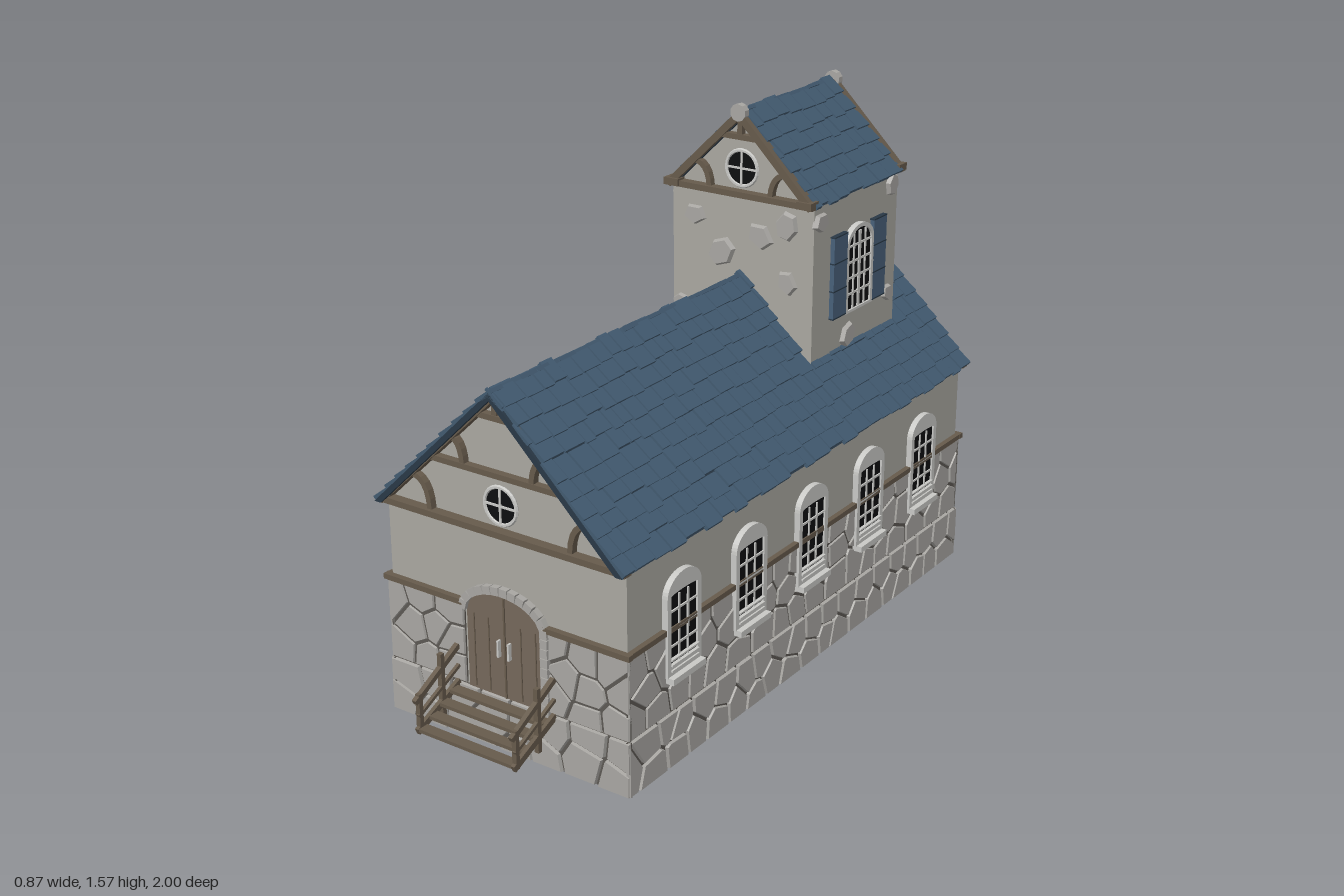
import * as THREE from 'three';
import { mergeGeometries } from 'three/addons/utils/BufferGeometryUtils.js';

const mat = (name, color, side = THREE.FrontSide) => {
  const m = new THREE.MeshStandardMaterial({ color, side, flatShading: true });
  m.name = name;
  return m;
};

export function createModel() {
  const plaster = mat('plaster', 0xa9a7a0), stone = mat('stone', 0xa8a6a2), mortar = mat('mortar', 0x5c5853);
  const tile = mat('slate blue', 0x425a70), underlay = mat('dark slate', 0x293846), wood = mat('timber', 0x665a4b);
  const doorWood = mat('door wood', 0x74675a), glass = mat('dark glass', 0x0d0e10);
  const trim = mat('pale trim', 0xc8c8c5), shutterBlue = mat('shutter blue', 0x486079);

  let seed = 7;
  const rnd = (a = 0, b = 1) => {
    seed = (seed * 16807) % 2147483647;
    return a + (b - a) * seed / 2147483647;
  };
  const root = new THREE.Group();
  root.name = 'chapel';

  const add = (parent, name, geo, m, x = 0, y = 0, z = 0) => {
    const mesh = new THREE.Mesh(geo, m);
    mesh.name = name;
    mesh.position.set(x, y, z);
    parent.add(mesh);
    return mesh;
  };
  const box = (p, name, m, w, h, d, x, y, z) => add(p, name, new THREE.BoxGeometry(w, h, d), m, x, y, z);
  const group = (p, name, x = 0, y = 0, z = 0, ry = 0) => {
    const g = new THREE.Group();
    g.name = name;
    g.position.set(x, y, z);
    g.rotation.y = ry;
    p.add(g);
    return g;
  };
  const extrude = (shape, depth) => new THREE.ExtrudeGeometry(shape, { depth, bevelEnabled: false, curveSegments: 10 });
  const poly = pts => new THREE.Shape(pts.map(p => new THREE.Vector2(...p)));
  const arch = (w, h, rise) => {
    const s = new THREE.Shape();
    s.moveTo(-w / 2, 0).lineTo(w / 2, 0).lineTo(w / 2, h - rise);
    s.absellipse(0, h - rise, w / 2, rise, 0, Math.PI, false);
    return s;
  };
  // flat timber following a straight or bent line
  const strip = (p, name, a, c, b, w, depth) => {
    const v = q => new THREE.Vector2(...q);
    const curve = c ? new THREE.QuadraticBezierCurve(v(a), v(c), v(b)) : new THREE.LineCurve(v(a), v(b));
    const left = [], right = [], n = c ? 6 : 1;
    for (let i = 0; i <= n; i++) {
      const q = curve.getPoint(i / n), t = curve.getTangent(i / n);
      left.push([q.x - t.y * w / 2, q.y + t.x * w / 2]);
      right.unshift([q.x + t.y * w / 2, q.y - t.x * w / 2]);
    }
    return add(p, name, extrude(poly([...left, ...right]), depth), wood);
  };

  // rubble masonry: cells cut from a jittered grid, tapered outward
  const clip = (pts, mx, my, nx, ny) => {
    const out = [];
    pts.forEach((p, i) => {
      const q = pts[(i + 1) % pts.length];
      const dp = (p[0] - mx) * nx + (p[1] - my) * ny, dq = (q[0] - mx) * nx + (q[1] - my) * ny;
      if (dp <= 0) out.push(p);
      if (dp * dq < 0) {
        const t = dp / (dp - dq);
        out.push([p[0] + (q[0] - p[0]) * t, p[1] + (q[1] - p[1]) * t]);
      }
    });
    return out;
  };
  const masonry = (p, name, w, h, cols, rows, depth, x, y) => {
    const g = group(p, name, x, y, 0), sites = [], geos = [];
    for (let r = 0; r < rows; r++) for (let c = 0; c < cols; c++)
      sites.push([(c + 0.5 + (r % 2 ? 0.22 : -0.22) + rnd(-0.3, 0.3)) * w / cols - w / 2, (r + 0.5 + rnd(-0.3, 0.3)) * h / rows]);
    for (const s of sites) {
      let cell = [[-w / 2, 0], [w / 2, 0], [w / 2, h], [-w / 2, h]];
      for (const o of sites) {
        if (o === s) continue;
        const dx = o[0] - s[0], dy = o[1] - s[1], d = Math.hypot(dx, dy), k = 0.5 - 0.0035 / d;
        if (d < 0.4) cell = clip(cell, s[0] + dx * k, s[1] + dy * k, dx / d, dy / d);
      }
      if (cell.length < 3) continue;
      const geo = extrude(poly(cell), depth), a = geo.attributes.position;
      for (let i = 0; i < a.count; i++) if (a.getZ(i) > 0)
        a.setXY(i, s[0] + (a.getX(i) - s[0]) * 0.94, s[1] + (a.getY(i) - s[1]) * 0.94);
      geo.computeVertexNormals();
      geos.push(geo);
    }
    box(g, 'mortarBed', mortar, w, h, 0.004, 0, h / 2, 0.002);
    add(g, 'stones', mergeGeometries(geos), stone);
  };

  // window in a surround, with glazing bars on both faces
  const windowUnit = (p, name, x, y, z, ry, o) => {
    const g = group(p, name, x, y, z, ry);
    const outer = arch(o.w, o.h, o.rise), hole = arch(o.gw, o.gh, o.grise);
    const pane = hole.getPoints(10).map(q => new THREE.Vector2(q.x, q.y + o.gy));
    outer.holes.push(new THREE.Path(pane));
    add(g, 'surround', extrude(outer, o.depth), trim, 0, 0, -o.depth + 0.018);
    add(g, 'glass', extrude(new THREE.Shape(pane), o.depth - 0.012), glass, 0, 0, -o.depth + 0.024);
    for (const bz of [0.013, -o.depth + 0.022]) {
      for (let i = 1; i < o.cols; i++)
        box(g, 'glazingBar', trim, i * 2 === o.cols ? 0.012 : 0.006, o.gh - 0.01, 0.006, (i / o.cols - 0.5) * o.gw, o.gy + o.gh / 2 - 0.004, bz);
      for (let i = 1; i < o.rows; i++) box(g, 'glazingBar', trim, o.gw, 0.006, 0.006, 0, o.gy + i * o.gh / o.rows, bz);
    }
    return g;
  };

  // shingled gable roof
  const roof = (name, hw, eave, apex, z0, z1, rows) => {
    const g = group(root, name), rise = apex - eave, ang = Math.atan2(rise, hw), len = Math.hypot(hw, rise) / rows, t = 0.022;
    const shell = poly([[hw, eave], [0, apex], [-hw, eave], [-hw + t, eave], [0, apex - t], [hw - t, eave]]);
    add(g, 'roofDeck', extrude(shell, z1 - z0), underlay, 0, 0, z0);
    const geos = [];
    for (const side of [1, -1]) for (let r = 0; r < rows; r++) for (let z = z0; z < z1 - 0.01;) {
      const w = Math.min(rnd(0.04, 0.09), z1 - z), f = (r + 0.5 + rnd(-0.12, 0.12)) / rows;
      const geo = new THREE.BoxGeometry(len * 1.15, rnd(0.009, 0.015), w - 0.005);
      geo.rotateZ(-side * (ang - 0.12));
      geo.translate(side * hw * (1 - f), eave + rise * f + 0.004, z + w / 2);
      geos.push(geo);
      z += w;
    }
    add(g, 'shingles', mergeGeometries(geos), tile);
    const cap = poly([[0.045, apex - 0.04], [0, apex + 0.008], [-0.045, apex - 0.04], [0, apex - 0.012]]);
    add(g, 'ridgeCap', extrude(cap, z1 - z0), tile, 0, 0, z0);
  };

  // half-timbered gable face
  const gable = (name, z, ry, hw, base, apex, o) => {
    const g = group(root, name, 0, 0, z, ry), k = (apex - base) / hw;
    const edge = y => (apex - y) / k;
    strip(g, 'tieBeam', [-hw, base + 0.006], null, [hw, base + 0.006], 0.018, 0.03);
    for (const y of o.collars) strip(g, 'collarBeam', [-edge(y) + 0.01, y], null, [edge(y) - 0.01, y], 0.016, 0.022);
    strip(g, 'kingPost', [0, o.collars[o.collars.length - 1]], null, [0, apex - 0.02], 0.016, 0.02);
    for (const s of [1, -1]) {
      strip(g, 'rafter', [s * (hw - 0.008), base], null, [0, apex - 0.014], 0.022, 0.028);
      for (const [x0, y0, x1, y1] of o.braces)
        strip(g, 'curvedBrace', [s * x0, y0], [s * (x0 + 0.005), y1], [s * x1, y1], 0.016, 0.02);
    }
    add(g, 'roundGlass', new THREE.CircleGeometry(0.052, 24), glass, 0, o.eye, 0.006);
    add(g, 'roundFrame', new THREE.TorusGeometry(0.053, 0.006, 6, 24), trim, 0, o.eye, 0.005);
    box(g, 'roundBar', trim, 0.1, 0.006, 0.006, 0, o.eye, 0.007);
    box(g, 'roundBar', trim, 0.006, 0.1, 0.006, 0, o.eye, 0.007);
    return g;
  };
  // loose stones showing through the plaster
  const looseStones = (p, list) => list.forEach(([x, y, r], i) => {
    const m = add(p, 'looseStone', new THREE.CylinderGeometry(r * 0.8, r, 0.016, 5 + i % 2), stone, x, y, 0.005);
    m.rotation.set(Math.PI / 2, i * 1.3, 0);
    m.scale.set(1, 1, 0.8);
  });

  // hall walls, open underneath
  const end = poly([[-0.4, 0], [0.4, 0], [0.4, 0.65], [0, 1.04], [-0.4, 0.65]]);
  add(root, 'frontWall', extrude(end, 0.02), plaster, 0, 0, 0.79);
  add(root, 'backWall', extrude(end, 0.02), plaster, 0, 0, -0.96);
  for (const s of [1, -1]) box(root, 'sideWall', plaster, 0.02, 0.65, 1.73, s * 0.39, 0.325, -0.075);
  box(root, 'ceiling', wood, 0.76, 0.01, 1.73, 0, 0.63, -0.075);

  for (const s of [1, -1]) {
    const g = group(root, 'sideMasonry', s * 0.4, 0, -0.075, s * Math.PI / 2);
    masonry(g, 'plinth', 1.79, 0.163, 19, 2, 0.014, 0, 0);
    masonry(g, 'dado', 1.785, 0.245, 18, 3, 0.01, 0, 0.167);
    box(g, 'timberBand', wood, 1.8, 0.016, 0.016, 0, 0.415, 0.008);
    for (const z of [0.58, 0.257, -0.067, -0.392, -0.716]) {
      const w = windowUnit(root, 'hallWindow', s * 0.4, 0.28, z, s * Math.PI / 2,
        { w: 0.155, h: 0.292, rise: 0.06, gw: 0.122, gh: 0.205, gy: 0.035, grise: 0.006, cols: 3, rows: 4, depth: 0.044 });
      box(w, 'sill', trim, 0.15, 0.018, 0.045, 0, -0.006, 0.013);
      for (let i = 0; i < 3; i++) box(w, 'guardRail', trim, 0.125, 0.005, 0.01, 0, 0.018 + i * 0.016, 0.018);
    }
  }

  // front and back masonry
  const front = group(root, 'frontMasonry', 0, 0, 0.81), back = group(root, 'backMasonry', 0, 0, -0.96, Math.PI);
  masonry(front, 'plinth', 0.824, 0.163, 8, 2, 0.014, 0, 0);
  masonry(back, 'plinth', 0.824, 0.163, 8, 2, 0.014, 0, 0);
  for (const s of [1, -1]) {
    masonry(front, 'dado', 0.27, 0.245, 3, 3, 0.01, s * 0.275, 0.167);
    box(front, 'timberBand', wood, 0.28, 0.016, 0.018, s * 0.278, 0.415, 0.009);
    masonry(back, 'cornerDado', 0.17, 0.245, 2, 3, 0.01, s * 0.325, 0.167);
    box(back, 'timberBand', wood, 0.18, 0.016, 0.018, s * 0.328, 0.415, 0.009);
  }
  masonry(back, 'lowDado', 0.48, 0.05, 5, 1, 0.01, 0, 0.165);
  looseStones(back, [[-0.19, 0.46, 0.04], [0.24, 0.6, 0.035], [-0.2, 0.26, 0.035], [0.18, 0.27, 0.03]]);
  windowUnit(root, 'backWindow', 0, 0.28, -0.96, Math.PI,
    { w: 0.13, h: 0.245, rise: 0.06, gw: 0.1, gh: 0.205, gy: 0.02, grise: 0.045, cols: 3, rows: 4, depth: 0.044 });

  // stone edging that follows an arch
  const archBlocks = (p, w, h, rise, n) => {
    const pts = arch(w, h, rise).getPoints(24).slice(1);
    const path = new THREE.CurvePath();
    for (let i = 0; i < pts.length - 1; i++) if (pts[i].distanceTo(pts[i + 1]) > 1e-5) path.add(new THREE.LineCurve(pts[i], pts[i + 1]));
    const step = path.getLength() / n;
    for (let i = 0; i < n; i++) {
      const q = path.getPoint((i + 0.5) / n), t = path.getTangent((i + 0.5) / n);
      box(p, 'archStone', stone, step * 0.92, 0.024, 0.02, q.x, q.y, 0.008).rotation.z = Math.atan2(t.y, t.x);
    }
  };
  archBlocks(group(back, 'backWindowEdging', 0, 0.25), 0.19, 0.3, 0.09, 17);

  // double door
  const door = group(root, 'door', 0, 0.16, 0.81);
  archBlocks(door, 0.277, 0.322, 0.085, 21);
  add(door, 'doorLeaves', extrude(arch(0.26, 0.312, 0.08), 0.036), doorWood, 0, 0, -0.03);
  box(door, 'doorSeam', wood, 0.005, 0.3, 0.004, 0, 0.152, 0.008);
  for (const s of [1, -1]) {
    for (const x of [0.055, 0.105]) box(door, 'plankGroove', wood, 0.003, 0.22, 0.003, s * x, 0.12, 0.007);
    box(door, 'doorHandle', trim, 0.006, 0.05, 0.012, s * 0.018, 0.15, 0.012);
  }

  // wooden steps with railings
  const steps = group(root, 'steps');
  for (let i = 0; i < 4; i++) box(steps, 'tread', wood, 0.32, 0.01, 0.034, 0, 0.155 - i * 0.02, 0.85 + i * 0.043);
  for (const s of [1, -1]) {
    const side = group(steps, 'railing', s * 0.165 + 0.006, 0, 0, -Math.PI / 2);
    strip(side, 'stringer', [0.82, 0.165], null, [0.995, 0.09], 0.02, 0.012);
    strip(side, 'handRail', [0.82, 0.275], null, [1.0, 0.18], 0.016, 0.014);
    strip(side, 'middleRail', [0.82, 0.215], null, [0.99, 0.135], 0.01, 0.01);
    strip(side, 'post', [0.89, 0.09], null, [0.89, 0.28], 0.014, 0.014);
    strip(side, 'post', [0.982, 0.085], null, [0.982, 0.2], 0.014, 0.014);
  }

  // main roof and gables
  roof('mainRoof', 0.415, 0.65, 1.056, -1.0, 0.85, 10);
  const hallGable = { collars: [0.82, 0.98], eye: 0.73, braces: [[0.235, 0.665, 0.3, 0.755], [0.115, 0.825, 0.16, 0.895]] };
  gable('frontGable', 0.81, 0, 0.415, 0.65, 1.056, hallGable);
  gable('backGable', -0.96, Math.PI, 0.415, 0.65, 1.056, hallGable);

  // tower
  const towerEnd = poly([[-0.245, 0.75], [0.245, 0.75], [0.245, 1.3], [0, 1.53], [-0.245, 1.3]]);
  add(root, 'towerBody', extrude(towerEnd, 0.48), plaster, 0, 0, -0.795);
  roof('towerRoof', 0.252, 1.3, 1.548, -0.803, -0.303, 6);
  const towerGable = { collars: [1.475], eye: 1.38, braces: [[0.105, 1.31, 0.165, 1.385]] };
  for (const [z, ry] of [[-0.315, 0], [-0.795, Math.PI]]) {
    const g = gable('towerGable', z, ry, 0.255, 1.3, 1.556, towerGable);
    looseStones(g, [[-0.165, 1.215, 0.042], [0.155, 1.23, 0.05], [0.065, 1.185, 0.05], [-0.07, 1.115, 0.055], [0.16, 1.06, 0.042], [-0.215, 0.935, 0.03]]);
    add(g, 'ridgeKnob', new THREE.CylinderGeometry(0.026, 0.026, 0.022, 10), stone, 0, 1.548, 0.02).rotation.x = Math.PI / 2;
    for (const s of [1, -1]) box(g, 'eaveBracket', wood, 0.05, 0.022, 0.042, s * 0.23, 1.31, 0.016);
  }
  for (const s of [1, -1]) {
    const w = windowUnit(root, 'belfryWindow', s * 0.245, 0.935, -0.555, s * Math.PI / 2,
      { w: 0.155, h: 0.265, rise: 0.06, gw: 0.13, gh: 0.245, gy: 0.008, grise: 0.05, cols: 4, rows: 5, depth: 0.03 });
    for (const t of [1, -1]) {
      box(w, 'shutter', shutterBlue, 0.075, 0.25, 0.014, t * 0.114, 0.13, 0.011);
      for (const y of [0.005, 0.09, 0.175, 0.255]) box(w, 'shutterBatten', underlay, 0.076, 0.004, 0.016, t * 0.114, y, 0.011);
    }
    const sideStones = group(root, 'towerSideStones', s * 0.245, 0, -0.555, s * Math.PI / 2);
    looseStones(sideStones, [[-0.21, 1.25, 0.04], [0.2, 1.27, 0.04], [0.19, 0.93, 0.035], [-0.04, 0.86, 0.045]]);
  }
  return root;
}
